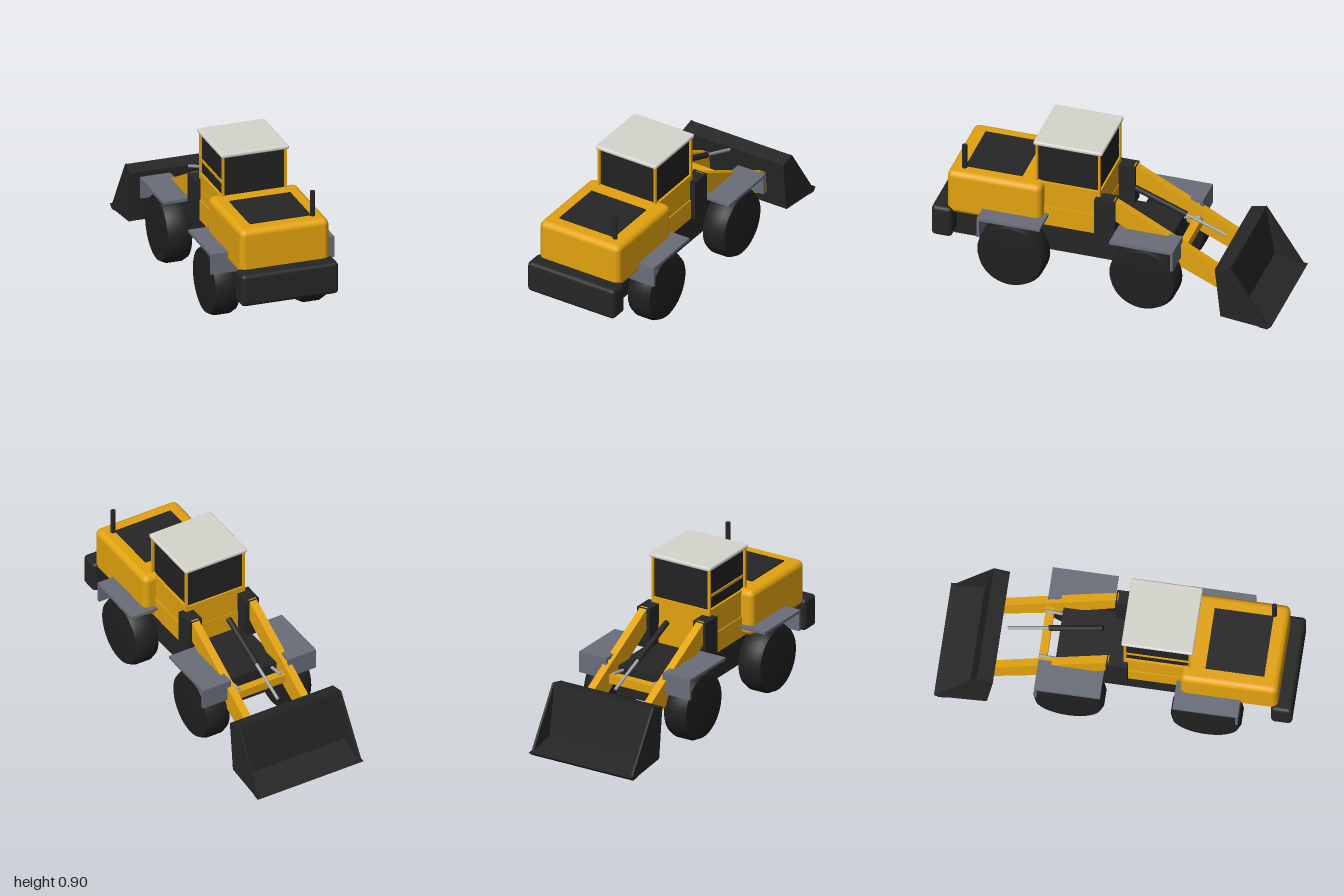
import * as THREE from 'three';
import { toCreasedNormals } from 'three/addons/utils/BufferGeometryUtils.js';
import { RoundedBoxGeometry } from 'three/addons/geometries/RoundedBoxGeometry.js';

export function createModel() {
  const model = new THREE.Group();
  model.name = 'vehicle';
  const mat = (name, color) => {
    const m = new THREE.MeshStandardMaterial({ color });
    m.name = name;
    return m;
  };
  const yellow = mat('yellow paint', 0xe3a30f);
  const dark = mat('dark steel', 0x262626);
  const rubber = mat('tyre rubber', 0x202020);
  const glass = mat('dark glass', 0x222222);
  const grey = mat('fender grey', 0x6a6e7a);
  const white = mat('roof white', 0xd6d6ce);
  const chrome = mat('piston metal', 0xa2a4a6);

  const add = (name, geometry, material) => {
    const mesh = new THREE.Mesh(geometry, material);
    mesh.name = name;
    model.add(mesh);
    return mesh;
  };
  // Boxes are given by their min and max on each axis
  const box = (name, material, [x0, x1], [y0, y1], [z0, z1], radius = 0) => {
    const size = [x1 - x0, y1 - y0, z1 - z0];
    const g = radius
      ? new RoundedBoxGeometry(...size, 4, radius)
      : new THREE.BoxGeometry(...size);
    g.translate((x0 + x1) / 2, (y0 + y1) / 2, (z0 + z1) / 2);
    return add(name, g, material);
  };
  // Side profile of [z, y] points, extruded across x
  const profile = (name, material, points, [x0, x1]) => {
    const shape = new THREE.Shape(points.map(([z, y]) => new THREE.Vector2(z, y)));
    const g = new THREE.ExtrudeGeometry(shape, { depth: x1 - x0, bevelEnabled: false });
    g.rotateY(-Math.PI / 2).translate(x1, 0, 0);
    return add(name, g, material);
  };
  const rod = (name, material, from, to, r) => {
    const a = new THREE.Vector3(...from), b = new THREE.Vector3(...to);
    const dir = b.clone().sub(a);
    const mesh = add(name, new THREE.CylinderGeometry(r, r, dir.length(), 16), material);
    mesh.position.copy(a).add(b).multiplyScalar(0.5);
    mesh.quaternion.setFromUnitVectors(new THREE.Vector3(0, 1, 0), dir.normalize());
    return mesh;
  };
  // Ordered x range on either side
  const sideX = (s, a, b) => (s > 0 ? [a, b] : [-b, -a]);

  // Chassis and engine end
  box('chassis', dark, [-0.18, 0.18], [0.19, 0.367], [-0.345, 0.9]);
  box('engineHood', yellow, [-0.263, 0.263], [0.37, 0.642], [0.368, 0.917], 0.035);
  box('hoodGrille', dark, [-0.18, 0.18], [0.638, 0.648], [0.5, 0.83]);
  box('counterweight', dark, [-0.287, 0.287], [0.22, 0.41], [0.88, 1], 0.024);
  rod('exhaustStack', dark, [0.19, 0.6, 0.833], [0.19, 0.79, 0.833], 0.0145);

  // Cab
  box('cabBase', yellow, [-0.197, 0.197], [0.36, 0.482], [0.04, 0.425]);
  box('cabBody', yellow, [-0.191, 0.191], [0.482, 0.636], [0.043, 0.42]);
  box('cabGlass', glass, [-0.177, 0.177], [0.63, 0.87], [0.053, 0.409]);
  box('doorRail', yellow, [-0.183, -0.176], [0.705, 0.72], [0.05, 0.412]);
  box('cabRoof', white, [-0.2, 0.2], [0.875, 0.9], [0.03, 0.432], 0.01);

  // Tyre profile, turned around the axle
  const tyre = toCreasedNormals(new THREE.LatheGeometry([
    [0, -0.074], [0.165, -0.074], [0.184, -0.072], [0.199, -0.042],
    [0.199, 0.042], [0.184, 0.072], [0.165, 0.074], [0, 0.074],
  ].map(([r, y]) => new THREE.Vector2(r, y)), 48), 0.6);
  tyre.rotateZ(Math.PI / 2);

  for (const s of [1, -1]) {
    // Cab corner posts
    for (const [z0, z1] of [[0.043, 0.056], [0.407, 0.42]]) {
      box('cabPost', yellow, sideX(s, 0.178, 0.192), [0.63, 0.88], [z0, z1]);
    }

    // Wheels and fenders; each flap hangs on the outer end
    for (const [name, z] of [['engineEndTyre', 0.523], ['bucketEndTyre', -0.247]]) {
      add(name, tyre, rubber).position.set(s * 0.264, 0.199, z);
    }
    const fenderX = sideX(s, 0.185, 0.365);
    box('engineEndFender', grey, fenderX, [0.42, 0.437], [0.342, 0.708]);
    box('engineEndFlap', grey, fenderX, [0.313, 0.437], [0.692, 0.708]);
    box('bucketEndFender', grey, fenderX, [0.42, 0.437], [-0.435, -0.065]);
    box('bucketEndFlap', grey, fenderX, [0.313, 0.437], [-0.435, -0.419]);

    // Lift towers, arms and lift pistons
    box('liftTower', dark, sideX(s, 0.143, 0.225), [0.365, 0.602], [-0.053, 0.068]);
    profile('liftArm', yellow, [
      [-0.04, 0.605], [-0.04, 0.48], [-0.44, 0.245], [-0.69, 0.13],
      [-0.69, 0.26], [-0.44, 0.395],
    ], sideX(s, 0.163, 0.209));
    rod('liftBarrel', dark, [s * 0.133, 0.33, -0.1], [s * 0.133, 0.345, -0.345], 0.014);
    rod('liftPiston', chrome, [s * 0.133, 0.345, -0.34], [s * 0.133, 0.36, -0.44], 0.009);
  }

  // Arm crossbar and bucket tilt cylinder
  box('armCrossbar', yellow, [-0.2, 0.2], [0.295, 0.345], [-0.442, -0.395]);
  rod('tiltBarrel', dark, [0, 0.575, -0.1], [0, 0.458, -0.4], 0.017);
  rod('tiltPiston', chrome, [0, 0.46, -0.395], [0, 0.367, -0.633], 0.009);

  // Bucket: back and floor shell, end plates and cutting edge
  profile('bucketShell', dark, [
    [-0.67, 0.356], [-0.76, 0.376], [-0.81, 0.08], [-0.975, 0.045],
    [-0.975, 0.023], [-0.703, 0.053],
  ], [-0.325, 0.325]);
  for (const s of [1, -1]) {
    profile('bucketEndPlate', dark, [
      [-0.67, 0.356], [-0.76, 0.378], [-0.975, 0.046], [-0.975, 0.022], [-0.703, 0.052],
    ], sideX(s, 0.32, 0.333));
  }
  profile('cuttingEdge', dark, [
    [-0.95, 0.047], [-1, 0.042], [-0.975, 0.02], [-0.93, 0.025],
  ], [-0.335, 0.335]);

  return model;
}
